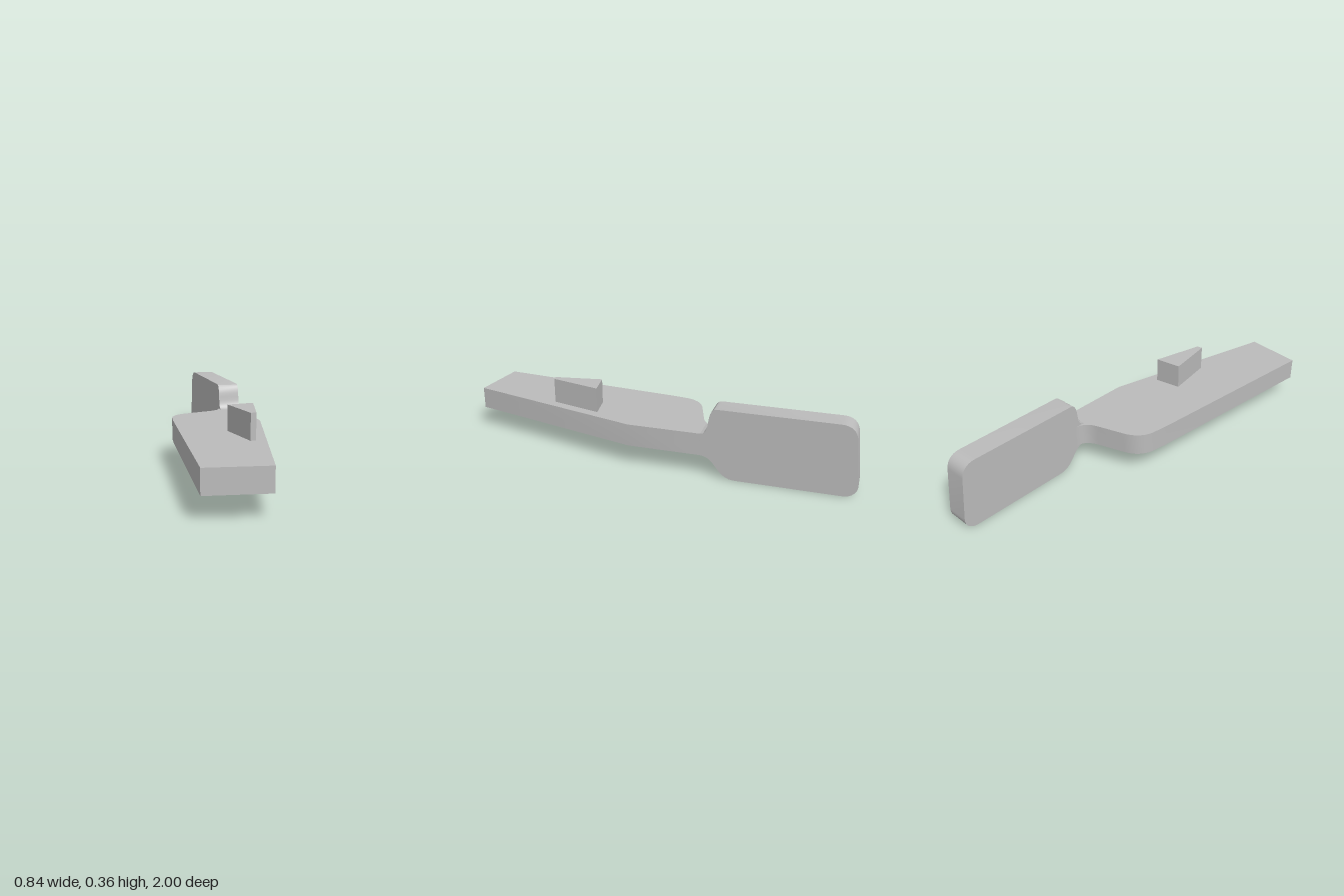
import * as THREE from 'three';
import { toCreasedNormals } from 'three/addons/utils/BufferGeometryUtils.js';

const grey = new THREE.MeshStandardMaterial({ color: 0xbbbbbb });
grey.name = 'plain grey';

const LOW = 0.112, HIGH = 0.225; // underside and top of the flat plate
const THICK = 0.112;             // thickness of the upright paddle

function extrude(shape, depth) {
  const g = new THREE.ExtrudeGeometry(shape, { depth, bevelEnabled: false, curveSegments: 10 });
  return toCreasedNormals(g, 0.5);
}

function part(name, geometry) {
  const mesh = new THREE.Mesh(geometry, grey);
  mesh.name = name;
  return mesh;
}

// Outlines drawn in plan (x, -z) are stood up along y.
function slab(name, shape, y0, y1) {
  const g = extrude(shape, y1 - y0);
  g.rotateX(-Math.PI / 2);
  g.translate(0, y0, 0);
  return part(name, g);
}

// Flat plate: straight tapering sides, rounded shoulder, fillet into the paddle
function plateShape() {
  const s = new THREE.Shape();
  s.moveTo(-0.425, -0.915);
  s.lineTo(-0.14, -0.997);
  s.lineTo(0.24, -0.12);
  s.lineTo(0.298, 0.24);
  s.lineTo(0.187, 0.258);
  s.lineTo(0.1955, 0.31);
  s.bezierCurveTo(0.188, 0.27, 0.155, 0.25, 0.11, 0.243);
  s.lineTo(-0.035, 0.222);
  s.bezierCurveTo(-0.1, 0.21, -0.14, 0.175, -0.155, 0.115);
  s.lineTo(-0.175, 0.05);
  s.closePath();
  return s;
}

// Paddle side profile: narrow neck, then a tall rounded blade with a slanted end
function paddleShape() {
  const u = z => (0.12 - z) / 0.987; // distance along the paddle
  const s = new THREE.Shape();
  s.moveTo(u(-0.24), LOW);
  s.bezierCurveTo(u(-0.32), LOW, u(-0.32), 0, u(-0.41), 0);
  s.lineTo(u(-0.915), 0);
  s.bezierCurveTo(u(-0.955), 0, u(-0.985), 0.03, u(-0.981), 0.07);
  s.lineTo(u(-0.958), 0.29);
  s.bezierCurveTo(u(-0.952), 0.335, u(-0.925), 0.358, u(-0.88), 0.358);
  s.lineTo(u(-0.32), 0.358);
  s.bezierCurveTo(u(-0.255), 0.358, u(-0.3), HIGH, u(-0.24), HIGH);
  s.closePath();
  return s;
}

// Small wedge standing on the plate
function wedgeShape() {
  return new THREE.Shape([[-0.028, -0.55], [0, -0.55], [0.107, -0.302], [-0.028, -0.302]]
    .map(([x, y]) => new THREE.Vector2(x, y)));
}

export function createModel() {
  const model = new THREE.Group();
  model.name = 'paddleLever';
  model.add(slab('plate', plateShape(), LOW, HIGH));
  model.add(slab('wedge', wedgeShape(), HIGH, 0.353));

  const paddle = part('paddle', extrude(paddleShape(), THICK));
  paddle.rotation.y = Math.acos(0.16);
  paddle.position.set(0.24 - THICK * 0.987, 0, 0.12 - THICK * 0.16);
  model.add(paddle);
  return model;
}
